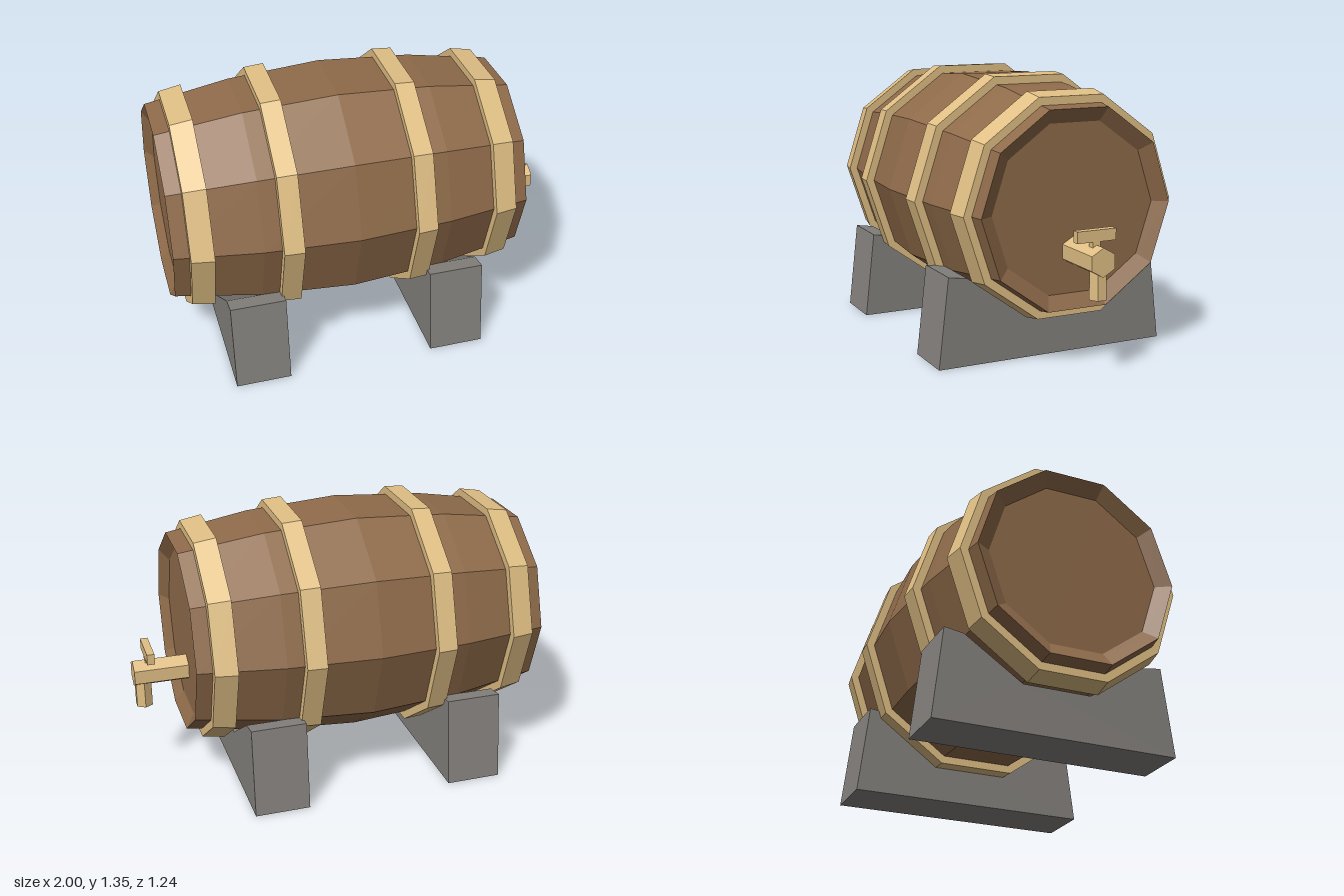
import * as THREE from 'three';

const AXIS_Y = 0.76; // height of the barrel axis
const MID_X = -0.115; // middle of the barrel

export function createModel() {
  const group = new THREE.Group();
  const flat = (name, hex) => {
    const m = new THREE.MeshStandardMaterial({ color: hex, flatShading: true });
    m.name = name;
    return m;
  };
  const wood = flat('brownWood', 0x8f6b4a);
  const tan = flat('paleTan', 0xe1c085);
  const stone = flat('grey', 0x85827e);

  const add = (name, geometry, material, x, y, z = 0) => {
    const mesh = new THREE.Mesh(geometry, material);
    mesh.name = name;
    mesh.position.set(x, y, z);
    group.add(mesh);
    return mesh;
  };

  // Ten-sided solid of revolution lying along x; points are [radius, x]
  const turned = (points) =>
    new THREE.LatheGeometry(points.map(([r, x]) => new THREE.Vector2(r, x)), 10).rotateZ(-Math.PI / 2);

  // Barrel body with shallow bevelled, recessed ends
  add('barrel', turned([
    [0, -0.841], [0.425, -0.841], [0.497, -0.885], [0.566, -0.465], [0.598, 0],
    [0.566, 0.465], [0.497, 0.885], [0.425, 0.841], [0, 0.841],
  ]), wood, MID_X, AXIS_Y);

  // Hoops, mirrored about the middle: inner edge, outer edge and their radii
  for (const [name, xIn, xOut, rIn, rOut] of [
    ['middleHoop', 0.281, 0.38, 0.62, 0.613],
    ['endHoop', 0.699, 0.809, 0.569, 0.55],
  ]) {
    for (const side of [1, -1]) {
      const profile = [[0.48, xIn], [rIn, xIn], [rOut, xOut], [0.48, xOut], [0.48, xIn]]
        .map(([r, x]) => [r, x * side]);
      if (side < 0) profile.reverse();
      add(name, turned(profile), tan, MID_X, AXIS_Y);
    }
  }

  // Cradle stands with a hollow that follows the barrel
  const cradle = new THREE.Shape([
    [-0.607, 0], [0.607, 0], [0.555, 0.445], [0.46, 0.43],
    [0.17, 0.235], [-0.17, 0.235], [-0.46, 0.43], [-0.555, 0.445],
  ].map(([x, y]) => new THREE.Vector2(x, y)));
  for (const x of [-0.76, 0.255]) {
    const geometry = new THREE.ExtrudeGeometry(cradle, { depth: 0.276, bevelEnabled: false });
    add('stand', geometry.rotateY(Math.PI / 2), stone, x, 0);
  }

  // Tap: hexagonal pipe, spout and T handle
  const pipe = new THREE.CylinderGeometry(0.069, 0.069, 0.28, 6, 1, false, Math.PI / 6);
  add('tapPipe', pipe.rotateZ(-Math.PI / 2), tan, 0.86, 0.56);
  add('tapSpout', new THREE.CylinderGeometry(0.045, 0.045, 0.165, 6), tan, 0.953, 0.4635);
  add('tapHandleStem', new THREE.BoxGeometry(0.036, 0.07, 0.04), tan, 0.92, 0.62);
  add('tapHandle', new THREE.BoxGeometry(0.038, 0.055, 0.202), tan, 0.92, 0.6715);

  return group;
}
